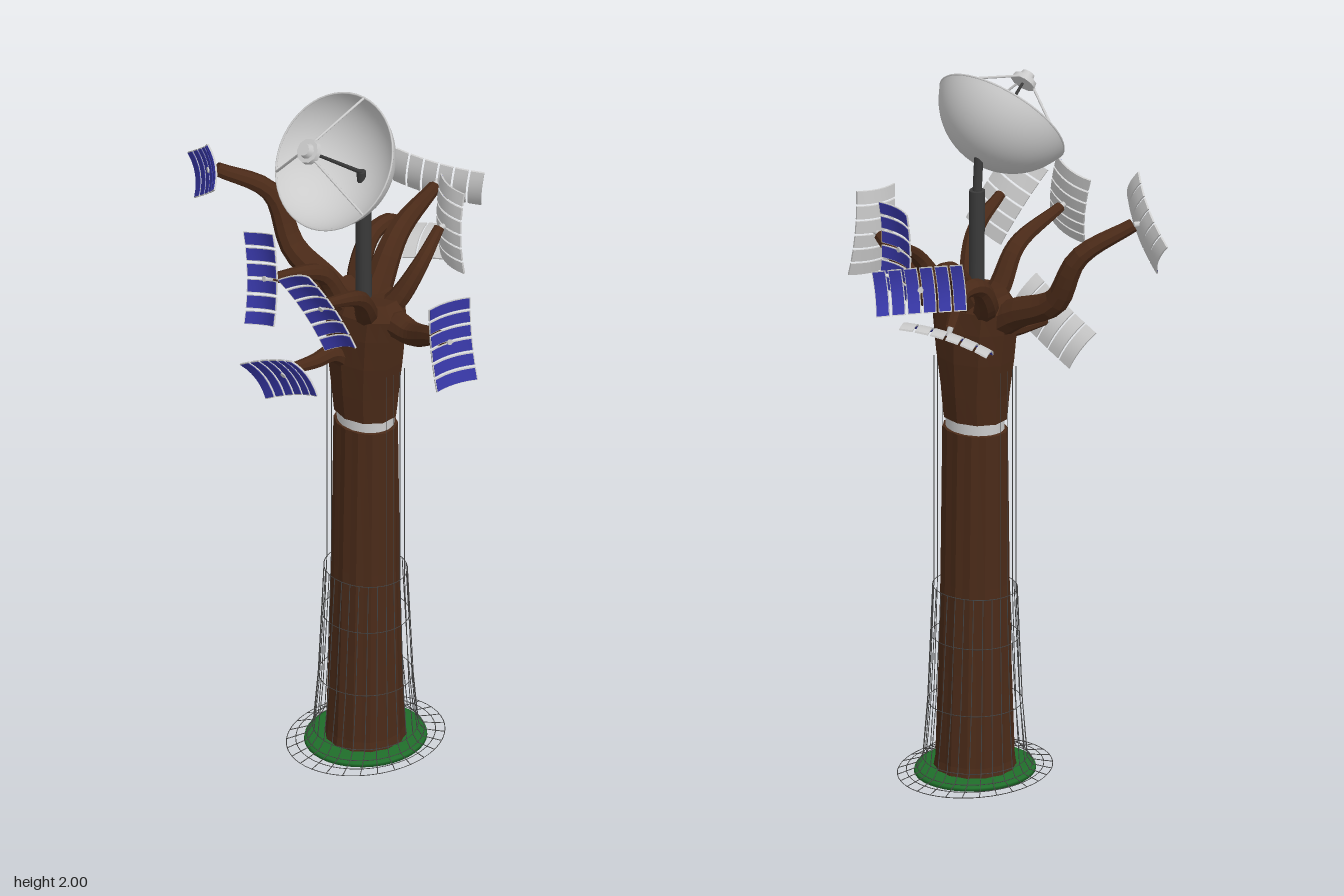
import * as THREE from 'three';

const V = (x, y, z) => new THREE.Vector3(x, y, z);
const mat = (color, opts = {}) => new THREE.MeshStandardMaterial({ color, ...opts });
const bark = mat(0x4a2a18, { flatShading: true, side: THREE.DoubleSide });
const grey = mat(0xcccccc, { side: THREE.DoubleSide });
const dark = mat(0x3a3a3a);
const wire = mat(0x444444);
const blue = mat(0x3838a8);
const green = mat(0x1f6e2a, { side: THREE.DoubleSide });

function add(parent, name, geometry, material) {
  const m = new THREE.Mesh(geometry, material);
  m.name = name;
  parent.add(m);
}

// Cylinder between two points
function rod(parent, name, a, b, r, material, r2 = r) {
  const g = new THREE.CylinderGeometry(r2, r, a.distanceTo(b), 10);
  g.applyQuaternion(new THREE.Quaternion().setFromUnitVectors(V(0, 1, 0), b.clone().sub(a).normalize()));
  const mid = a.clone().lerp(b, 0.5);
  add(parent, name, g.translate(mid.x, mid.y, mid.z), material);
}

// Tube along a curve, narrowing from r0 to r1
function taperedTube(points, r0, r1) {
  const seg = 18, sides = 9;
  const curve = new THREE.CatmullRomCurve3(points);
  const g = new THREE.TubeGeometry(curve, seg, 1, sides);
  const p = g.attributes.position, v = V(0, 0, 0);
  for (let i = 0; i <= seg; i++) {
    const c = curve.getPointAt(i / seg), r = r0 + (r1 - r0) * (i / seg);
    for (let j = 0; j <= sides; j++) {
      const k = i * (sides + 1) + j;
      v.fromBufferAttribute(p, k).sub(c).multiplyScalar(r).add(c);
      p.setXYZ(k, v.x, v.y, v.z);
    }
  }
  g.computeVertexNormals();
  return g;
}

// Fluted elliptical shell from [x radius, height, z radius] rows
function barkShell(rows, sides, flute) {
  const g = new THREE.LatheGeometry(rows.map(([r, y]) => new THREE.Vector2(r, y)), sides);
  const p = g.attributes.position;
  for (let i = 0; i < p.count; i++) {
    const [rx, , rz] = rows[i % rows.length];
    const col = Math.floor(i / rows.length) % sides;
    const a = (col / sides) * Math.PI * 2, f = col % 2 ? 1 - flute : 1;
    p.setX(i, Math.sin(a) * rx * f);
    p.setZ(i, Math.cos(a) * rz * f);
  }
  g.computeVertexNormals();
  return g;
}

// Slatted panel facing its local +z, gently dished
function solarPanel(parent, center, yaw, pitch, roll) {
  const panel = new THREE.Group();
  panel.name = 'solarPanel';
  panel.position.copy(center);
  panel.rotation.set(pitch, yaw, roll, 'YXZ');
  const slat = (name, w, h, t, x, z, material) => {
    const g = new THREE.BoxGeometry(w, h, t, 1, 6, 1).translate(x, 0, z);
    const p = g.attributes.position;
    for (let i = 0; i < p.count; i++) {
      const a = p.getX(i) / 0.125, b = p.getY(i) / 0.0625;
      p.setZ(i, p.getZ(i) + 0.012 * a * a + 0.013 * b * b - 0.008);
    }
    g.computeVertexNormals();
    add(panel, name, g, material);
  };
  for (let i = 0; i < 6; i++) {
    const x = (i - 2.5) * 0.0425;
    slat('slat', 0.036, 0.125, 0.005, x, 0, grey);
    slat('cells', 0.032, 0.119, 0.002, x, 0.003, blue);
  }
  parent.add(panel);
}

// Branch growing out of the crown through two or three points to a panel
function limb(parent, radius, via, center, yaw, pitch, roll) {
  const first = via[0];
  const root = V(0.067, first.y - 0.06, 0.033).lerp(V(first.x, first.y - 0.06, first.z), 0.35);
  const facing = V(0, 0, 1).applyEuler(new THREE.Euler(pitch, yaw, 0, 'YXZ'));
  // The branch stops short of the panel, on the side it arrives from
  const last = via[via.length - 1];
  const side = Math.sign(last.clone().sub(center).dot(facing));
  const tip = center.clone().addScaledVector(facing, side * 0.025);
  add(parent, 'branch', taperedTube([root, ...via, tip], radius, radius * 0.4), bark);
  rod(parent, 'panelMount', tip, center, 0.008, grey);
  solarPanel(parent, center, yaw, pitch, roll);
}

// Wire cage around the trunk, flared at the ground, tall on the left and right
function buildCage(parent) {
  const cage = new THREE.Group();
  cage.name = 'wireCage';
  const rows = [[0.195, 0.002, 0.23], [0.175, 0.008, 0.2], [0.15, 0.016, 0.165], [0.138, 0.04, 0.145],
    [0.128, 0.2, 0.127], [0.122, 0.39, 0.115], [0.118, 0.53, 0.106]];
  const angles = Array.from({ length: 28 }, (_, i) => ((i + 0.5) / 28) * Math.PI * 2);
  const at = ([rx, y, rz], a) => V(Math.cos(a) * rx, y, Math.sin(a) * rz);
  for (const a of angles) {
    const pts = rows.map(r => at(r, a));
    if (Math.abs(Math.cos(a)) > 0.86) pts.push(at([0.118, 1.18, 0.106], a));
    for (let k = 1; k < pts.length; k++) rod(cage, 'uprightWire', pts[k - 1], pts[k], 0.0012, wire);
  }
  for (const r of rows) {
    const ring = new THREE.CatmullRomCurve3(angles.map(a => at(r, a)), true);
    add(cage, 'hoopWire', new THREE.TubeGeometry(ring, 56, 0.0012, 4, true), wire);
  }
  parent.add(cage);
}

// Dish with feed horn on struts; local +y is the pointing direction
function buildDish(parent) {
  const dish = new THREE.Group();
  dish.name = 'dish';
  const R = 0.199, depth = 0.14, profile = [];
  const end = Math.PI - Math.asin(0.19 / R);
  for (let i = 0; i <= 16; i++) {
    const t = (i / 16) * (Math.PI - end);
    profile.push(new THREE.Vector2(R * Math.sin(t), R - depth - R * Math.cos(t)));
  }
  add(dish, 'bowl', new THREE.LatheGeometry(profile, 48), grey);
  add(dish, 'rim', new THREE.TorusGeometry(0.189, 0.003, 6, 48).rotateX(Math.PI / 2), grey);
  for (let i = 0; i < 3; i++) {
    const a = -Math.PI / 2 + (i * Math.PI * 2) / 3;
    rod(dish, 'strut', V(Math.cos(a) * 0.187, 0, Math.sin(a) * 0.187),
      V(Math.cos(a) * 0.022, 0.125, Math.sin(a) * 0.022), 0.0035, grey);
  }
  rod(dish, 'feedRod', V(0, -depth, 0), V(0, 0.12, 0), 0.006, dark, 0.004);
  rod(dish, 'feedPlate', V(0, 0.115, 0), V(0, 0.13, 0), 0.036, grey, 0.034);
  rod(dish, 'feedCap', V(0, 0.13, 0), V(0, 0.148, 0), 0.022, grey, 0.018);
  dish.position.set(0.067, 1.845, 0.153);
  dish.rotation.x = Math.atan2(0.8, 0.6);
  parent.add(dish);
}

export function createModel() {
  const model = new THREE.Group();
  model.name = 'solarTree';

  // Trunk, collar, crown and ground ring share one axis
  const core = new THREE.Group();
  core.name = 'trunkCore';
  core.position.set(0.067, 0, 0.033);
  model.add(core);
  add(core, 'trunk', barkShell([[0.112, 0.005, 0.114], [0.106, 0.04, 0.108], [0.1, 0.3, 0.096],
    [0.096, 0.55, 0.088], [0.094, 0.99, 0.078], [0.07, 0.995, 0.06]], 28, 0.04), bark);
  add(core, 'collar', new THREE.CylinderGeometry(0.084, 0.084, 0.034, 28).scale(1, 1, 0.84).translate(0, 1.008, 0), grey);
  add(core, 'crown', barkShell([[0.07, 1.02, 0.06], [0.094, 1.024, 0.08], [0.1, 1.1, 0.088], [0.115, 1.2, 0.095],
    [0.125, 1.29, 0.096], [0.132, 1.35, 0.09], [0.1, 1.39, 0.07], [0.001, 1.375, 0.001]], 20, 0.05), bark);
  const turf = [[0.09, 0], [0.16, 0], [0.158, 0.009], [0.145, 0.014], [0.09, 0.014]];
  add(core, 'groundRing', new THREE.LatheGeometry(turf.map(([r, y]) => new THREE.Vector2(r, y)), 40).scale(1, 1, 1.07), green);
  buildCage(core);

  // Side limbs
  limb(model, 0.048, [V(-0.07, 1.35, 0.03), V(-0.2, 1.415, 0.035), V(-0.275, 1.56, 0.045)], V(-0.385, 1.64, 0.178), -0.535, 0, 0.61);
  limb(model, 0.046, [V(0.17, 1.33, 0.03), V(0.25, 1.335, 0.04), V(0.35, 1.385, 0.075)], V(0.465, 1.43, 0.115), 1.265, -0.1, -1.53);
  // Front limbs
  limb(model, 0.036, [V(0.035, 1.38, 0.1), V(0.025, 1.48, 0.16)], V(0.01, 1.545, 0.365), -0.157, -0.273, -1.21);
  limb(model, 0.036, [V(0.135, 1.38, 0.1), V(0.18, 1.475, 0.18)], V(0.208, 1.525, 0.35), 0.167, 0.283, -1.11);
  limb(model, 0.034, [V(0.05, 1.235, 0.14), V(0.04, 1.23, 0.2)], V(0.02, 1.22, 0.303), 0.064, 0.358, 0.5);
  // Back limbs
  limb(model, 0.046, [V(0.055, 1.39, -0.03), V(0.035, 1.49, -0.12)], V(-0.035, 1.53, -0.345), -2.69, -0.25, 0.15);
  limb(model, 0.038, [V(-0.02, 1.38, -0.03), V(-0.045, 1.46, -0.1), V(-0.05, 1.47, -0.18)], V(-0.06, 1.375, -0.255), 2.934, 1.168, 2.48);
  limb(model, 0.036, [V(0.145, 1.38, -0.01), V(0.175, 1.48, -0.07)], V(0.165, 1.545, -0.18), 2.868, 0, 1.57);

  // Mast carrying the dish
  rod(model, 'mast', V(0.067, 1.33, 0.04), V(0.067, 1.67, 0.042), 0.022, dark);
  rod(model, 'mastNeck', V(0.067, 1.66, 0.042), V(0.067, 1.77, 0.05), 0.013, dark);
  buildDish(model);
  return model;
}
